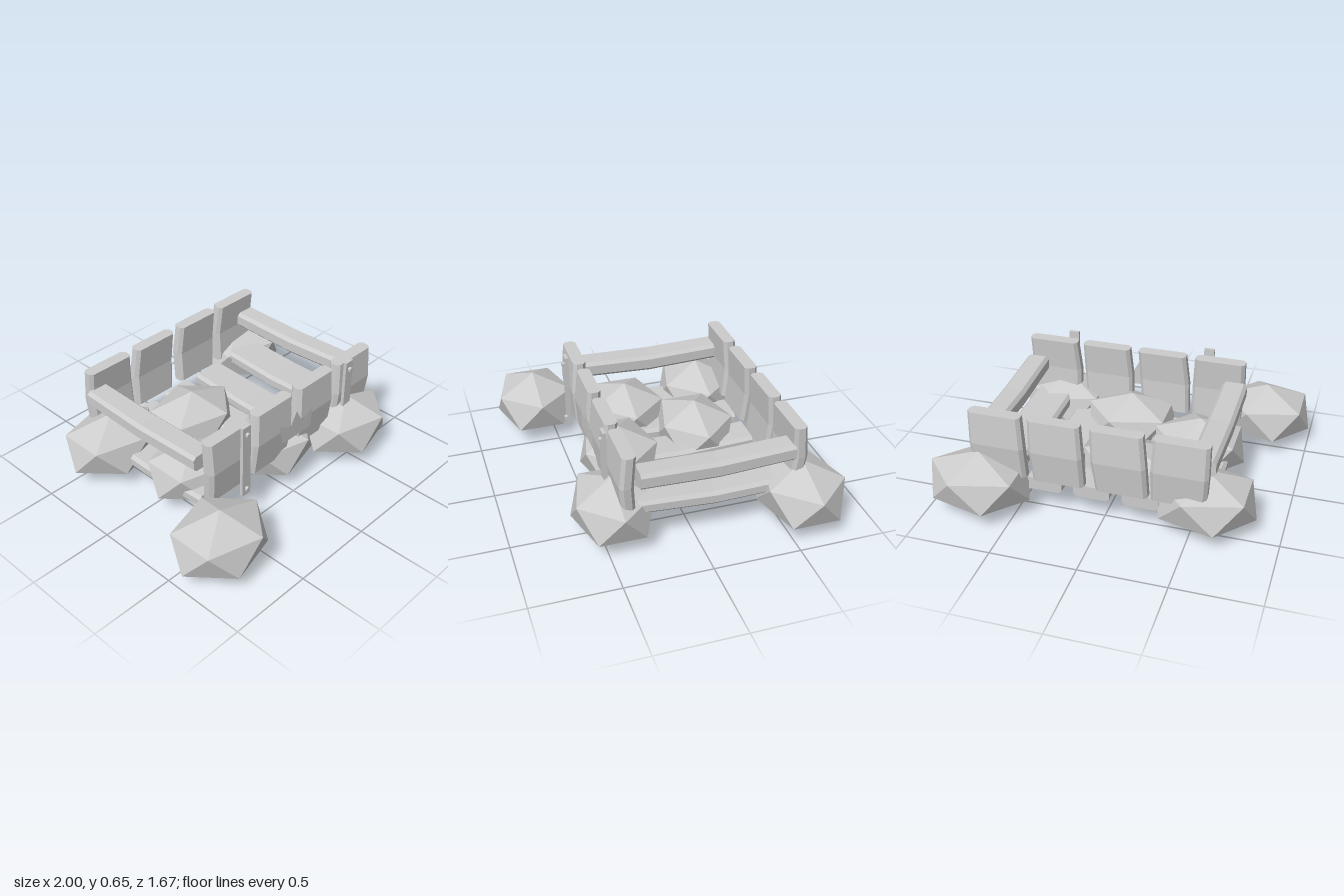
import * as THREE from 'three';

const stone = new THREE.MeshStandardMaterial({ color: 0xcccccc, flatShading: true, side: THREE.DoubleSide });
stone.name = 'pale grey';

// Chamfered board along local y, bent at the middle towards +z and leaning in x
function board(length, width, thick, bend, lean = 0, chamfer = 0.02) {
  const w = width / 2, t = thick / 2, c = chamfer;
  const ring = [[w, -t + c], [w, t - c], [w - c, t], [c - w, t], [-w, t - c], [-w, c - t], [c - w, -t], [w - c, -t]];
  const pos = [], index = [], n = ring.length;
  for (let s = 0; s < 3; s++) {
    const v = s / 2 - 0.5, grow = s === 1 ? 1 : 0.96;
    for (const [x, z] of ring) pos.push(x * grow + lean * v, v * length, z * grow + (s === 1 ? bend : 0));
  }
  for (let s = 0; s < 2; s++) for (let i = 0; i < n; i++) {
    const a = s * n + i, b = s * n + (i + 1) % n;
    index.push(a, a + n, b, b, a + n, b + n);
  }
  for (let i = 1; i < n - 1; i++) {
    index.push(0, i, i + 1);
    index.push(2 * n, 2 * n + i + 1, 2 * n + i);
  }
  const g = new THREE.BufferGeometry();
  g.setAttribute('position', new THREE.Float32BufferAttribute(pos, 3));
  g.setIndex(index);
  g.computeVertexNormals();
  return g;
}

// Faceted boulder: twelve-cornered, standing on a point
function boulder(rx, ry, rz) {
  const g = new THREE.BufferGeometry();
  const pos = [0, ry, 0], index = [];
  for (let k = 0; k < 2; k++) for (let i = 0; i < 5; i++) {
    const a = (i + k / 2) * Math.PI * 0.4;
    pos.push(rx * Math.cos(a), ry * (k ? -0.447 : 0.447), rz * Math.sin(a));
  }
  pos.push(0, -ry, 0);
  for (let i = 0; i < 5; i++) {
    const j = (i + 1) % 5, u = 1 + i, u2 = 1 + j, l = 6 + i, l2 = 6 + j;
    index.push(0, u2, u, u, u2, l, u2, l2, l, 11, l, l2);
  }
  g.setAttribute('position', new THREE.Float32BufferAttribute(pos, 3));
  g.setIndex(index);
  g.computeVertexNormals();
  return g;
}

export function createModel() {
  const model = new THREE.Group();
  const add = (name, geometry, x, y, z) => {
    const m = new THREE.Mesh(geometry, stone);
    m.name = name;
    m.position.set(x, y, z);
    model.add(m);
    return m;
  };

  // Boulders around and beneath the frame: x, z, radii
  [[-0.72, 0.605, 0.28, 0.236], [0.54, 0.43, 0.28, 0.228], [0.705, -0.615, 0.295, 0.236],
   [-0.565, -0.44, 0.29, 0.236], [-0.08, -0.26, 0.28, 0.226], [-0.41, 0.085, 0.275, 0.23],
   [0.06, 0.26, 0.28, 0.226]].forEach(([x, z, rx, rz], i) =>
    add('boulder', boulder(rx, i < 4 ? 0.19 : 0.18, rz), x, i < 4 ? 0.19 : 0.2, z));

  // Upright wall boards, front and back: centre x, width, lean
  const walls = [[-0.45, 0.32, -0.01], [-0.11, 0.31, 0.03], [0.25, 0.31, 0.02], [0.595, 0.32, 0.02]];
  for (const [x, w, lean] of walls) {
    add('frontBoard', board(0.38, w, 0.08, 0.015, lean), x, 0.43, 0.385);
    add('backBoard', board(0.38, w, 0.08, -0.015, lean), x, 0.43, -0.57);
  }

  // Side rails and floor boards, sagging slightly: x, y, width, thickness, drift in x
  const rails = [['sideRail', -0.56, 0.465, 0.155, 0.1, 0], ['sideRail', 0.695, 0.465, 0.145, 0.1, 0.015],
    ['floorBoard', 0.6, 0.255, 0.25, 0.085, -0.02], ['floorBoard', 0.34, 0.175, 0.23, 0.08, -0.02],
    ['floorBoard', 0.07, 0.175, 0.22, 0.08, 0.01], ['floorBoard', -0.22, 0.17, 0.22, 0.08, 0],
    ['floorBoard', -0.49, 0.18, 0.24, 0.08, 0.01]];
  for (const [name, x, y, w, t, drift] of rails)
    add(name, board(0.88, w, t, 0.015, drift), x, y, -0.11).rotation.x = Math.PI / 2;

  // Straps with bolts on the front
  for (const x of [-0.37, 0.5]) {
    add('strap', new THREE.BoxGeometry(0.062, 0.465, 0.02), x, 0.418, 0.457);
    for (const y of [0.6, 0.23])
      add('bolt', new THREE.CylinderGeometry(0.015, 0.015, 0.018, 6), x, y, 0.474).rotation.x = Math.PI / 2;
  }

  // Thin pointed ornament at the middle of the front
  const points = [[-0.05, 0.345], [0.19, 0.345], [0.205, 0.47], [0.115, 0.42], [0.065, 0.515], [0.015, 0.425], [-0.08, 0.48]];
  const shape = new THREE.Shape(points.map(([x, y]) => new THREE.Vector2(x, y)));
  add('pointedOrnament', new THREE.ShapeGeometry(shape), 0, 0, 0.445);

  return model;
}
